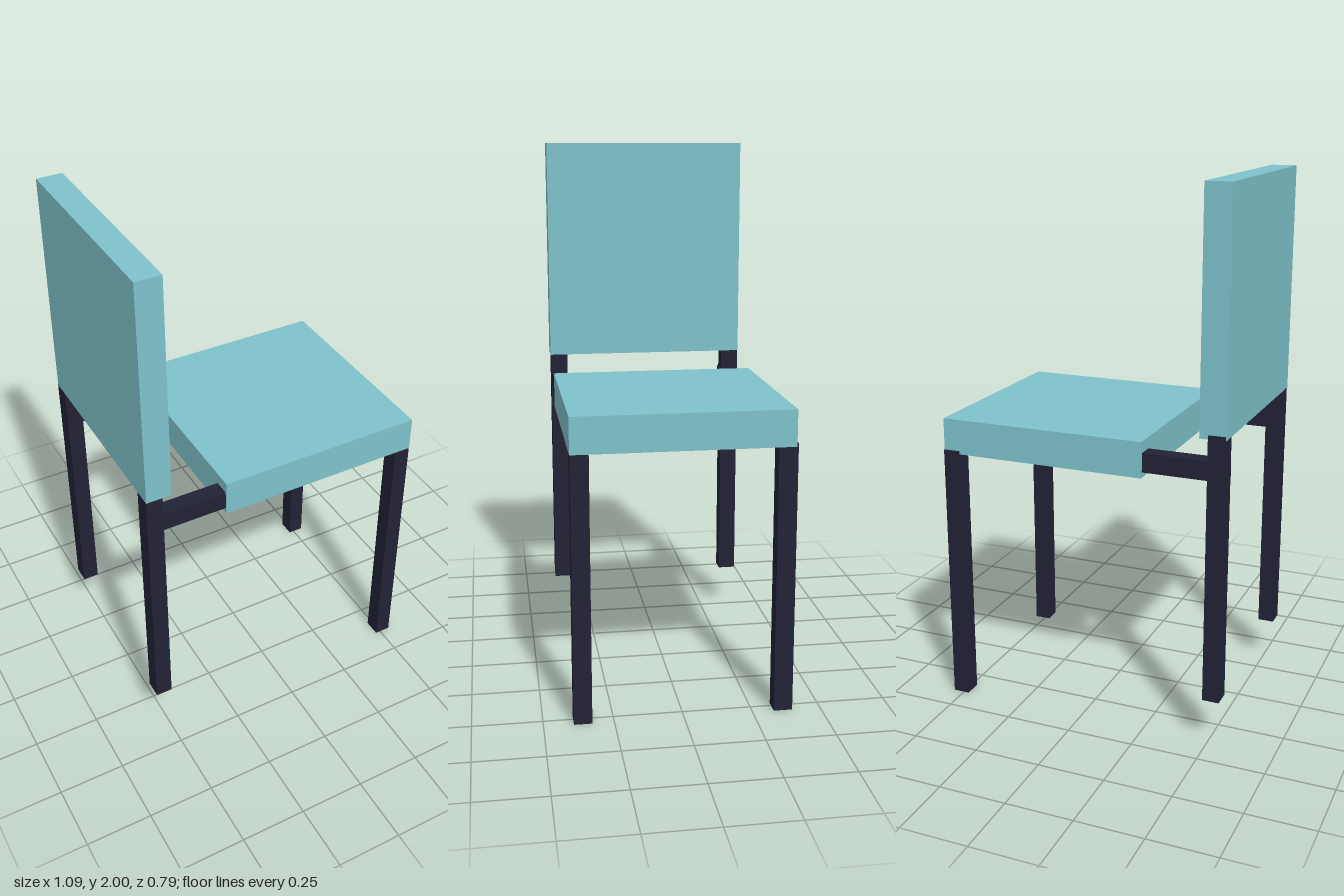
import * as THREE from 'three';

export function createModel() {
  const model = new THREE.Group();
  model.name = 'chair';

  const upholstery = new THREE.MeshStandardMaterial({ color: 0x7fc2cb });
  upholstery.name = 'teal upholstery';
  const frame = new THREE.MeshStandardMaterial({ color: 0x222236 });
  frame.name = 'dark frame';

  // Box spanning from min to max on each axis
  function addBox(name, material, [x0, x1], [y0, y1], [z0, z1]) {
    const mesh = new THREE.Mesh(new THREE.BoxGeometry(x1 - x0, y1 - y0, z1 - z0), material);
    mesh.position.set((x0 + x1) / 2, (y0 + y1) / 2, (z0 + z1) / 2);
    mesh.name = name;
    model.add(mesh);
  }

  // Cushions
  addBox('seat', upholstery, [-0.24, 0.542], [0.98, 1.112], [-0.391, 0.394]);
  addBox('backrest', upholstery, [-0.545, -0.45], [1.15, 2], [-0.391, 0.394]);

  // Front legs reach the ground, back legs stop higher
  addBox('frontLegNear', frame, [0.48, 0.542], [0, 0.992], [0.328, 0.393]);
  addBox('frontLegFar', frame, [0.48, 0.542], [0, 0.992], [-0.396, -0.328]);
  addBox('backLegNear', frame, [-0.544, -0.482], [0.175, 1.165], [0.323, 0.39]);
  addBox('backLegFar', frame, [-0.544, -0.482], [0.175, 1.165], [-0.396, -0.328]);

  // Side rails joining the back legs to the seat
  addBox('sideRailNear', frame, [-0.543, -0.2], [1.0, 1.07], [0.327, 0.388]);
  addBox('sideRailFar', frame, [-0.543, -0.2], [1.0, 1.07], [-0.383, -0.322]);

  return model;
}
